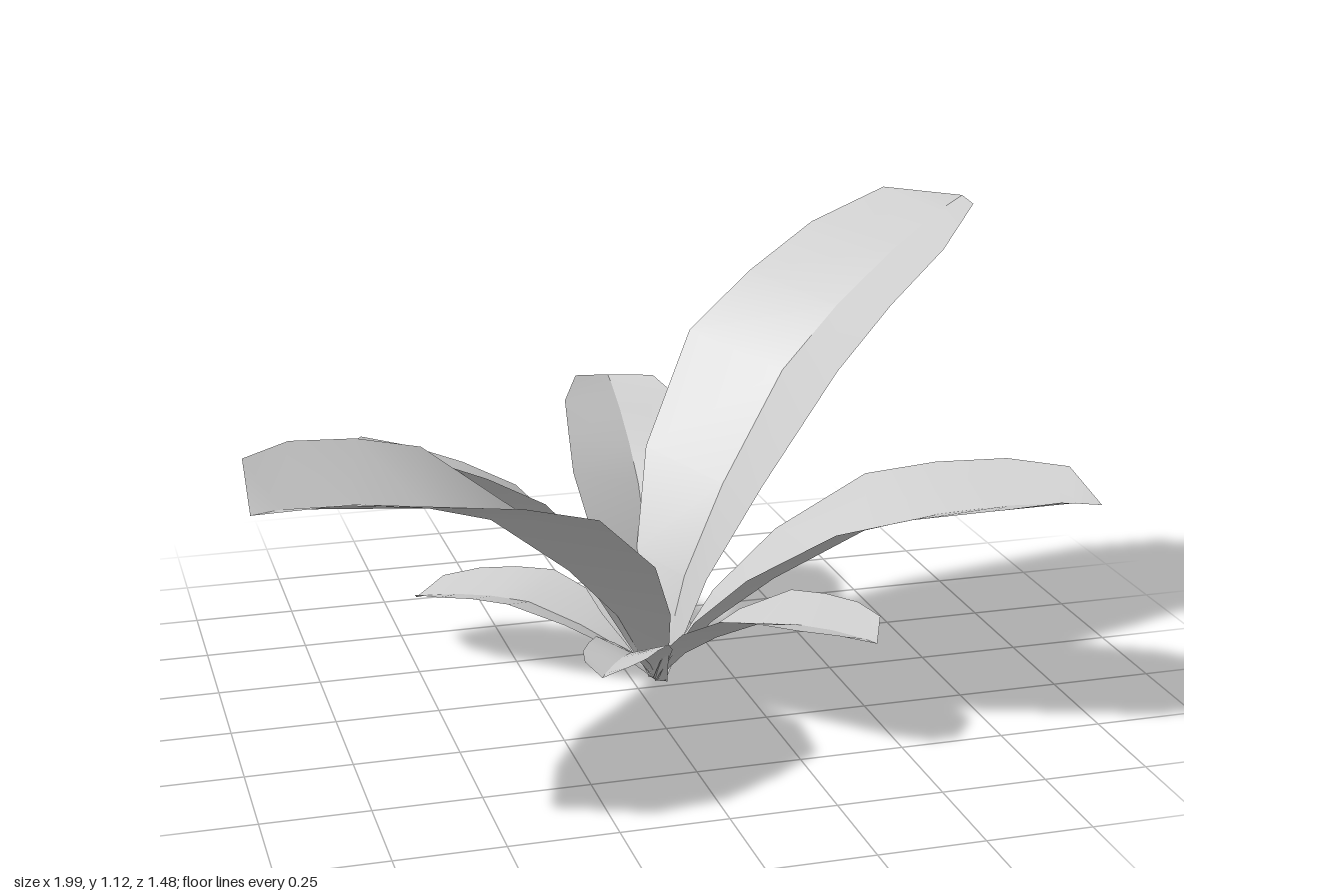
import * as THREE from 'three';

// Shared blade sections: [distance along chord, rib height, edge height, half width]
const LENGTH = 1.475;
const SECTIONS = [
  [0, -0.01, 0, 0.035],
  [0.24, 0.1, 0.155, 0.145],
  [0.48, 0.155, 0.24, 0.235],
  [0.8, 0.19, 0.282, 0.292],
  [1.02, 0.155, 0.237, 0.275],
  [1.227, 0.1, 0.171, 0.252],
  [1.404, 0.035, 0.098, 0.17],
  [LENGTH, 0, 0, 0],
];

// Tip position and roll of every leaf; size, heading and pitch follow from the tip
const LEAVES = {
  tallLeaf: { tip: [0.99, 1.1, -0.43], roll: -0.06 },
  longLeaf: { tip: [-1, 0.77, 0.65], roll: -0.08 },
  sideLeaf: { tip: [0.99, 0.55, 0.47], roll: 0 },
  middleLeaf: { tip: [-0.7, 0.62, -0.19], roll: 0.25 },
  backLeaf: { tip: [0.12, 0.6, -0.735], roll: 0.08 },
  smallBackLeftLeaf: { tip: [-0.465, 0.125, -0.46], roll: 0 },
  smallFrontLeaf: { tip: [0.43, 0.275, 0.5], roll: 0 },
  tinyFrontLeaf: { tip: [-0.175, 0.185, 0.32], roll: 0 },
  smallBackLeaf: { tip: [0.065, 0.185, -0.565], roll: -0.2 },
};

const CROWN = new THREE.Vector3(0.06, 0.015, -0.04);

// One half of a blade, from the folded rib out to the edge
function halfBlade(side) {
  const positions = [];
  const index = [];
  SECTIONS.forEach(([u, rib, edge, half], i) => {
    positions.push(u, rib, 0, u, edge, side * half);
    if (i === 0) return;
    const a = 2 * (i - 1);
    const faces = [[a, a + 1, a + 2]];
    if (half > 0) faces.push([a + 1, a + 3, a + 2]);
    for (const [p, q, r] of faces) index.push(...(side > 0 ? [p, q, r] : [p, r, q]));
  });
  const geometry = new THREE.BufferGeometry();
  geometry.setAttribute('position', new THREE.Float32BufferAttribute(positions, 3));
  geometry.setIndex(index);
  geometry.computeVertexNormals();
  return geometry;
}

export function createModel() {
  const plant = new THREE.Group();
  plant.name = 'plant';
  const material = new THREE.MeshStandardMaterial({ color: 0xcccccc, side: THREE.DoubleSide });
  const halves = { leftHalf: halfBlade(-1), rightHalf: halfBlade(1) };

  for (const [name, { tip, roll }] of Object.entries(LEAVES)) {
    const chord = new THREE.Vector3(...tip).sub(CROWN);
    const leaf = new THREE.Group();
    leaf.name = name;
    for (const [half, geometry] of Object.entries(halves)) {
      const mesh = new THREE.Mesh(geometry, material);
      mesh.name = half;
      leaf.add(mesh);
    }
    // Heading, then pitch, then roll about the chord
    leaf.position.copy(CROWN);
    leaf.rotation.order = 'YZX';
    leaf.rotation.y = Math.atan2(-chord.z, chord.x);
    leaf.rotation.z = Math.atan2(chord.y, Math.hypot(chord.x, chord.z));
    leaf.rotation.x = roll;
    leaf.scale.setScalar(chord.length() / LENGTH);
    plant.add(leaf);
  }
  return plant;
}
